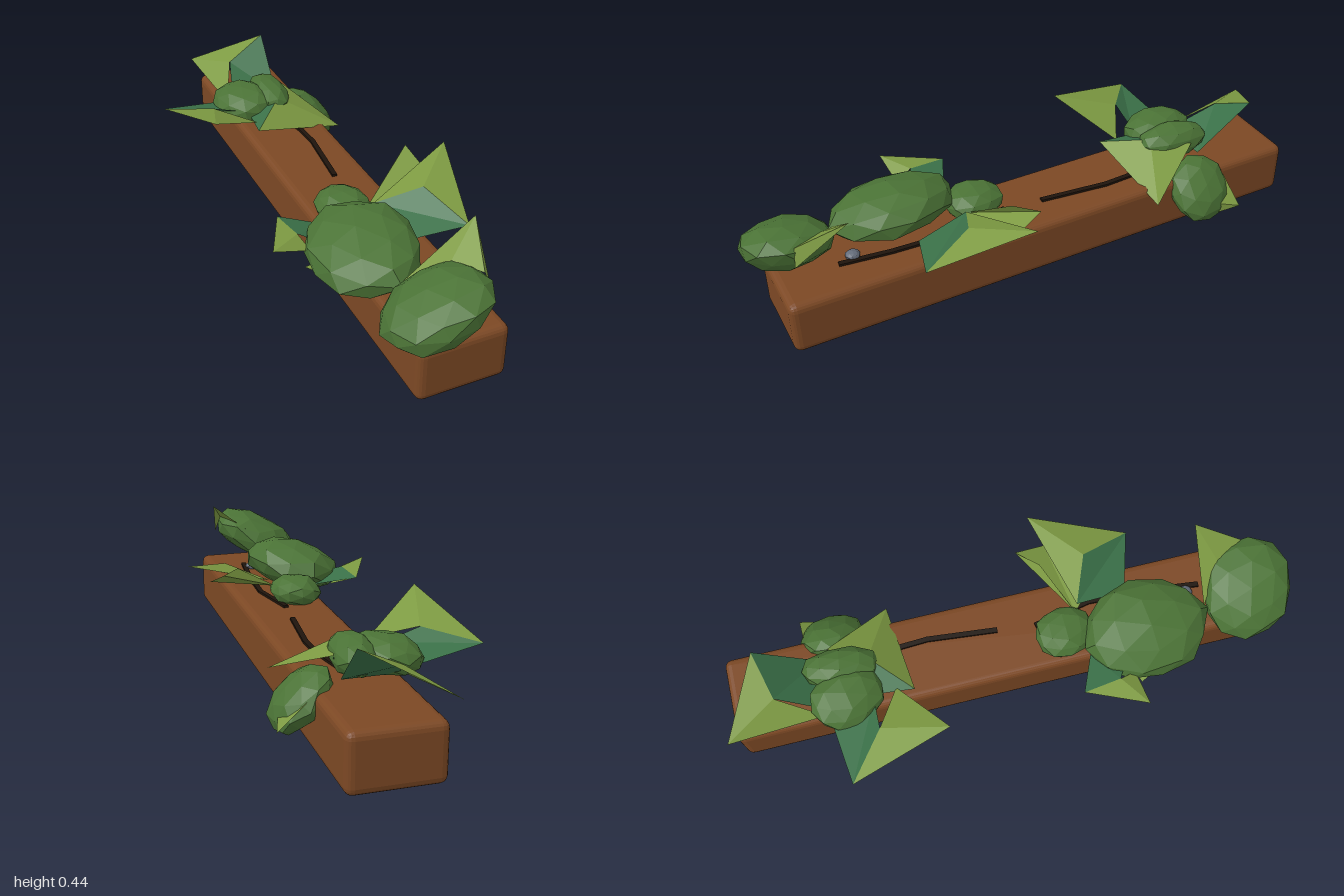
import * as THREE from 'three';
import { RoundedBoxGeometry } from 'three/addons/geometries/RoundedBoxGeometry.js';

const mat = (name, color, extra = {}) => {
  const m = new THREE.MeshStandardMaterial({ color, flatShading: true, ...extra });
  m.name = name;
  return m;
};

export function createModel() {
  const group = new THREE.Group();
  const double = { side: THREE.DoubleSide };
  const wood = mat('brown wood', 0x7c4824);
  const bush = mat('bush green', 0x4b7336);
  const light = mat('light leaf green', 0x7d9a42, double);
  const dark = mat('deep leaf green', 0x3a7048, double);
  const crack = mat('dark crack', 0x1e140c);
  const stone = mat('grey stone', 0x626a78);

  const add = (name, geometry, material) => {
    const mesh = new THREE.Mesh(geometry, material);
    mesh.name = name;
    group.add(mesh);
    return mesh;
  };

  // Timber beam with softened edges
  add('beam', new RoundedBoxGeometry(0.3, 0.19, 1.88, 2, 0.025), wood).position.set(0.03, 0.095, -0.04);

  // Faceted clump: an ellipsoid with a gently uneven surface
  const clump = (name, center, half, tilt, material = bush) => {
    const geo = new THREE.IcosahedronGeometry(1, 1);
    const p = geo.attributes.position;
    const v = new THREE.Vector3();
    for (let i = 0; i < p.count; i++) {
      v.fromBufferAttribute(p, i);
      const k = 1 + 0.045 * Math.sin(5 * v.x + 3 * v.y + 4 * v.z + center[2] * 9);
      p.setXYZ(i, v.x * k, v.y * k, v.z * k);
    }
    geo.scale(...half);
    geo.computeVertexNormals();
    const mesh = add(name, geo, material);
    mesh.position.set(...center);
    mesh.rotation.set(...tilt);
  };
  clump('frontClump', [-0.035, 0.277, 0.83], [0.175, 0.08, 0.155], [0, -0.25, 0.44]);
  clump('largeClump', [-0.085, 0.25, 0.455], [0.175, 0.09, 0.222], [0, 0.1, 0.25]);
  clump('smallClump', [-0.02, 0.225, 0.185], [0.09, 0.055, 0.105], [0, 0, 0]);
  clump('rearClumpRight', [-0.075, 0.25, -0.585], [0.105, 0.062, 0.13], [0, 0.2, 0.1]);
  clump('rearClumpLeft', [0.03, 0.258, -0.585], [0.07, 0.06, 0.135], [0, -0.1, -0.15]);
  clump('hangingClump', [0.195, 0.14, -0.6], [0.12, 0.062, 0.115], [0, 0, -0.82]);

  // Folded leaf: a fan of triangles around its first point
  const leaf = (name, material, ...points) => {
    const geo = new THREE.BufferGeometry();
    geo.setAttribute('position', new THREE.Float32BufferAttribute(points.flat(), 3));
    const index = [];
    for (let i = 1; i < points.length - 1; i++) index.push(0, i, i + 1);
    geo.setIndex(index);
    geo.computeVertexNormals();
    add(name, geo, material);
  };

  // Leaf over the front clump
  leaf('frontLeaf', light, [0.06, 0.35, 0.74], [0.11, 0.36, 0.84], [0.17, 0.44, 0.68], [-0.06, 0.26, 0.67]);
  leaf('frontLeafSide', light, [0.11, 0.36, 0.84], [0.13, 0.3, 0.85], [0.17, 0.44, 0.68]);

  // Leaves on the left of the large clump
  leaf('sideLeafInner', dark, [0.06, 0.25, 0.25], [0.08, 0.21, 0.43], [0.28, 0.25, 0.49], [0.21, 0.31, 0.31]);
  leaf('sideLeafOuter', light, [0.21, 0.31, 0.31], [0.28, 0.25, 0.49], [0.375, 0.353, 0.15], [0.06, 0.25, 0.25]);
  leaf('upperSideLeaf', light, [0.04, 0.23, 0.24], [0.2, 0.333, 0.15], [0.265, 0.33, 0.08], [0.29, 0.28, 0.19], [0.1, 0.24, 0.3]);

  // Leaf on the right of the large clump
  leaf('rightLeaf', light, [-0.24, 0.26, 0.32], [-0.17, 0.22, 0.24], [-0.255, 0.25, 0.19], [-0.35, 0.27, 0.39], [-0.22, 0.23, 0.38]);
  leaf('rightLeafInner', dark, [-0.24, 0.26, 0.32], [-0.255, 0.25, 0.19], [-0.12, 0.22, 0.25], [-0.14, 0.22, 0.38]);
  leaf('lowerRightLeaf', light, [-0.2, 0.2, 0.5], [-0.25, 0.19, 0.4], [-0.12, 0.18, 0.36]);

  // Rear leaves spreading from the rear clumps
  leaf('rearRightLeafInner', dark, [-0.1, 0.25, -0.5], [-0.1, 0.22, -0.66], [-0.376, 0.262, -0.625], [-0.22, 0.29, -0.5]);
  leaf('rearRightLeafOuter', light, [-0.22, 0.29, -0.5], [-0.376, 0.262, -0.625], [-0.29, 0.356, -0.275], [-0.08, 0.24, -0.42]);
  leaf('rearLeafInner', dark, [-0.04, 0.3, -0.82], [-0.09, 0.21, -0.66], [0.09, 0.21, -0.66], [0.11, 0.375, -0.855]);
  leaf('rearLeafOuter', light, [-0.04, 0.3, -0.82], [0.11, 0.375, -0.855], [-0.143, 0.255, -1.0], [-0.11, 0.21, -0.67]);
  leaf('drapedLeaf', light, [0.03, 0.285, -0.49], [-0.1, 0.24, -0.36], [0.24, 0.165, -0.395], [0.1, 0.27, -0.62]);
  leaf('drapedLeafInner', dark, [0.03, 0.285, -0.49], [0.1, 0.26, -0.62], [-0.08, 0.24, -0.55], [-0.1, 0.24, -0.36]);
  leaf('hangingLeaf', light, [0.27, 0.11, -0.63], [0.2, 0.17, -0.7], [0.295, 0.09, -0.71], [0.25, 0.05, -0.56], [0.22, 0.13, -0.5]);

  // Dark cracks lying along the top of the beam
  const cracks = [
    [[0.05, 0.69], [0.07, 0.52], [0.08, 0.3], [0.04, 0.1]],
    [[0.055, -0.04], [0.08, -0.28], [0.075, -0.38], [0.04, -0.58]],
  ];
  for (const line of cracks) {
    for (let i = 0; i < line.length - 1; i++) {
      const [[x0, z0], [x1, z1]] = [line[i], line[i + 1]];
      const length = Math.hypot(x1 - x0, z1 - z0);
      const strip = add('crack', new THREE.BoxGeometry(0.018, 0.009, length + 0.008), crack);
      strip.position.set((x0 + x1) / 2, 0.1935, (z0 + z1) / 2);
      strip.rotation.y = Math.atan2(x1 - x0, z1 - z0);
    }
  }

  // Pebble beside the front clump
  clump('pebble', [0.03, 0.198, 0.64], [0.025, 0.015, 0.025], [0, 0, 0], stone);

  return group;
}
